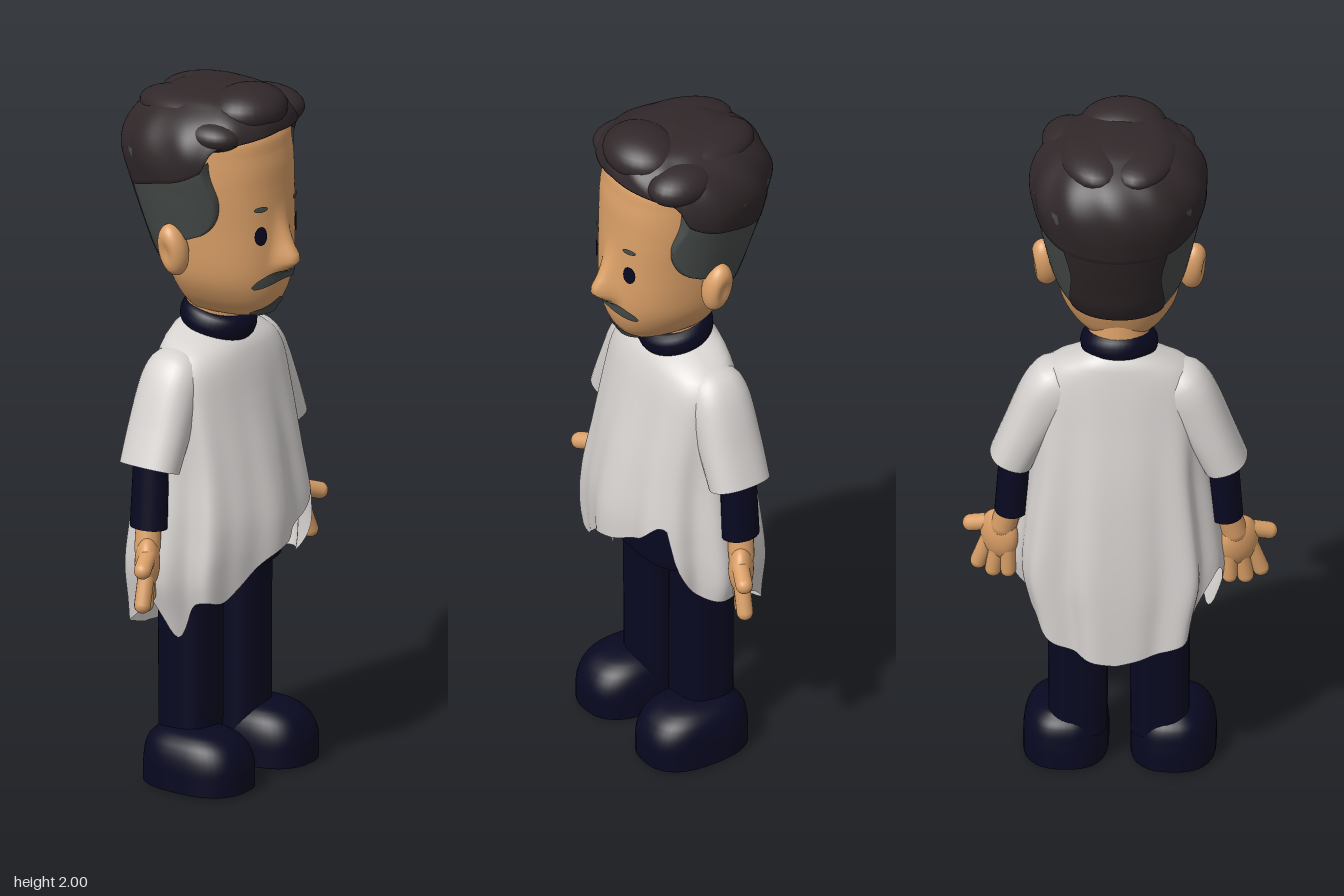
import * as THREE from 'three';
import { mergeVertices } from 'three/addons/utils/BufferGeometryUtils.js';

const paint = (name, color, side = THREE.FrontSide) => {
  const m = new THREE.MeshStandardMaterial({ color, side });
  m.name = name;
  return m;
};
const rad = Math.PI / 180;
const lerp = THREE.MathUtils.lerp;
const pw = (v, e) => Math.sign(v) * Math.abs(v) ** e;

// Smooth lookup in rows of [key, value, value...]
function look(rows, k) {
  const n = rows.length - 1;
  if (k <= rows[0][0]) return rows[0].slice(1);
  if (k >= rows[n][0]) return rows[n].slice(1);
  let i = 0;
  while (k > rows[i + 1][0]) i++;
  const a = rows[i], b = rows[i + 1], h = b[0] - a[0], t = (k - a[0]) / h;
  const slope = (j, c) => {
    const p = rows[Math.max(j - 1, 0)], q = rows[Math.min(j + 1, n)];
    return (q[c] - p[c]) / (q[0] - p[0]) * h;
  };
  return a.slice(1).map((_, j) => {
    const c = j + 1, t2 = t * t, t3 = t2 * t;
    const v = (2 * t3 - 3 * t2 + 1) * a[c] + (t3 - 2 * t2 + t) * slope(i, c)
      + (3 * t2 - 2 * t3) * b[c] + (t3 - t2) * slope(i + 1, c);
    const lo = Math.min(a[c], b[c]), hi = Math.max(a[c], b[c]);
    return Math.min(Math.max(v, lo), hi);
  });
}

// Smooth grid surface; u runs towards +x at the front, v runs up
function grid(nu, nv, f) {
  const pos = [], idx = [];
  for (let j = 0; j <= nv; j++) for (let i = 0; i <= nu; i++) pos.push(...f(i / nu, j / nv));
  for (let j = 0; j < nv; j++) for (let i = 0; i < nu; i++) {
    const a = j * (nu + 1) + i, c = a + nu + 1;
    idx.push(a, a + 1, c + 1, a, c + 1, c);
  }
  let g = new THREE.BufferGeometry();
  g.setAttribute('position', new THREE.Float32BufferAttribute(pos, 3));
  g.setIndex(idx);
  g = mergeVertices(g, 1e-5);
  g.computeVertexNormals();
  return g;
}

// Point on a body given by rows of [y, half width, front z, back z]
function ringPoint(rows, th, y, e = 0.9, k = 1) {
  const [w, zf, zb] = look(rows, y), c = Math.cos(th);
  return [k * w * pw(Math.sin(th), e), y, k * (c > 0 ? zf : -zb) * pw(c, e)];
}
// Closed body with five bands between each pair of rows
function solid(rows, e = 0.9, nu = 40, shift = () => 0) {
  const n = rows.length - 1;
  return grid(nu, n * 5, (u, v) => {
    const i = Math.min(n - 1, Math.floor(v * n + 1e-6));
    const p = ringPoint(rows, (u * 2 - 1) * Math.PI, lerp(rows[i][0], rows[i + 1][0], v * n - i), e);
    if (p[2] > 0) p[2] += shift(p[0], p[1]);
    return p;
  });
}

const HEAD = [[1.335, 0, 0, 0], [1.345, 0.065, 0.145, -0.04], [1.37, 0.1, 0.18, -0.07], [1.41, 0.132, 0.203, -0.09],
  [1.46, 0.157, 0.215, -0.11], [1.52, 0.169, 0.218, -0.14], [1.62, 0.178, 0.214, -0.18], [1.72, 0.188, 0.208, -0.21],
  [1.82, 0.19, 0.198, -0.21], [1.9, 0.16, 0.16, -0.17], [1.94, 0, 0, 0]];
const NOSE = [[1.48, 0, 0.035], [1.502, 0.035, 0.035], [1.527, 0.056, 0.034], [1.56, 0.038, 0.03], [1.62, 0.012, 0.028], [1.67, 0, 0.028]];
const HAIR = [[1.435, 0.125, 0.1, -0.125], [1.5, 0.165, 0.13, -0.165], [1.56, 0.188, 0.165, -0.188], [1.62, 0.202, 0.18, -0.212],
  [1.71, 0.222, 0.192, -0.243], [1.81, 0.24, 0.198, -0.264], [1.87, 0.228, 0.203, -0.25], [1.92, 0.192, 0.195, -0.212],
  [1.955, 0.142, 0.16, -0.155], [1.975, 0.095, 0.1, -0.1], [1.985, 0, 0, 0]];
const HAIRLINE = [[0, 1.885], [45, 1.87], [56, 1.855], [63, 1.8], [100, 1.745], [138, 1.7], [180, 1.69]];
const GREY_FRONT = [[1.44, 108], [1.52, 100], [1.575, 92], [1.6, 66], [1.64, 51], [1.7, 47], [1.78, 56], [1.82, 58]];
const GREY_BACK = [[1.44, 114], [1.5, 130], [1.6, 143], [1.7, 141], [1.82, 138]];
const CLOTH = [[0.38, 0.235, 0.17, -0.198], [0.5, 0.255, 0.195, -0.195], [0.62, 0.283, 0.208, -0.19], [0.76, 0.272, 0.215, -0.18],
  [0.93, 0.25, 0.188, -0.163], [1.1, 0.24, 0.147, -0.138], [1.2, 0.226, 0.124, -0.122], [1.25, 0.19, 0.108, -0.112],
  [1.275, 0.14, 0.095, -0.105], [1.295, 0.085, 0.075, -0.085]];
const HEM = [[-180, 0.39], [-145, 0.43], [-125, 0.49], [-108, 0.63], [-95, 0.57], [-80, 0.45], [-68, 0.54], [-55, 0.57], [-42, 0.56],
  [-28, 0.6], [-8, 0.67], [20, 0.73], [44, 0.8], [52, 0.67], [66, 0.58], [90, 0.56], [122, 0.5], [142, 0.43], [180, 0.39]];

export function createModel() {
  const model = new THREE.Group();
  model.name = 'figure';
  const skin = paint('skin', 0xda9f67), hair = paint('dark hair', 0x31282a, THREE.DoubleSide);
  const grey = paint('grey hair', 0x474c49, THREE.DoubleSide), navy = paint('navy cloth', 0x080821);
  const white = paint('white cloth', 0xd6d2d0, THREE.DoubleSide);

  const add = (name, geo, mat, x = 0, y = 0, z = 0) => {
    const m = new THREE.Mesh(geo, mat);
    m.name = name;
    m.position.set(x, y, z);
    model.add(m);
    return m;
  };
  const ball = (name, mat, [x, y, z], [a, b, c]) =>
    add(name, new THREE.SphereGeometry(1, 28, 18).scale(a, b, c), mat, x, y, z);
  const limb = (name, mat, a, b, r) => {
    const p = new THREE.Vector3(...a), d = new THREE.Vector3(...b).sub(p);
    const m = add(name, new THREE.CapsuleGeometry(r, d.length(), 6, 16), mat);
    m.position.copy(p).addScaledVector(d, 0.5);
    m.quaternion.setFromUnitVectors(new THREE.Vector3(0, 1, 0), d.normalize());
  };

  // Head with a nose swelling out of the face, and neck
  const nose = (x, y) => {
    const [h, w] = look(NOSE, y);
    return h * Math.exp(-((Math.abs(x) / w) ** 2.6));
  };
  add('head', solid(HEAD, 0.9, 144, nose), skin);
  const neck = add('neck', new THREE.CylinderGeometry(0.085, 0.085, 0.18, 28), skin, 0, 1.35, -0.005);
  neck.rotation.x = 0.1;

  // Painted face details that follow the face surface
  const faceZ = (x, y) => {
    const [w, zf] = look(HEAD, y), s = Math.min(1, (Math.abs(x) / w) ** (1 / 0.9));
    return zf * Math.sqrt(1 - s * s) ** 0.9 + nose(x, y);
  };
  const decal = (name, mat, cx, half, top, bottom) => add(name, grid(28, 8, (u, v) => {
    const t = u * 2 - 1, x = cx + half * t, y = lerp(bottom(t), top(t), v);
    return [x, y, faceZ(x, y) + 0.006];
  }), mat);
  const arc = t => Math.sqrt(Math.max(0, 1 - t * t));
  const droop = t => 1.479 - 0.027 * Math.abs(t) ** 1.8, thick = t => 0.018 * Math.max(0, 1 - t ** 6) ** 0.5;
  for (const s of [-1, 1]) {
    decal('eye', navy, s * 0.08, 0.017, t => 1.602 + 0.027 * arc(t), t => 1.602 - 0.027 * arc(t));
    decal('eyebrow', grey, s * 0.078, 0.02, t => 1.678 + 0.008 * arc(t), t => 1.678 - 0.008 * arc(t));
  }
  decal('moustache', grey, 0, 0.097, t => droop(t) + thick(t), t => droop(t) - thick(t));
  decal('goatee', grey, 0, 0.06, t => 1.408 - 0.042 * Math.abs(t) ** 1.2, t => 1.347 + 0.012 * t * t);

  // Ears with a shallow hollow
  for (const s of [-1, 1]) {
    const g = new THREE.SphereGeometry(1, 28, 20).scale(0.042, 0.074, 0.043), p = g.attributes.position;
    for (let i = 0; i < p.count; i++) {
      const y = p.getY(i), z = p.getZ(i);
      if (p.getX(i) * s > 0) p.setX(i, p.getX(i) - s * 0.018 * Math.exp(-((y / 0.035) ** 2) - (z / 0.022) ** 2));
    }
    g.computeVertexNormals();
    const ear = add('ear', g, skin, s * 0.203, 1.556, -0.005);
    ear.rotation.set(-0.15, s * 0.2, -s * 0.1);
  }

  // Hair: wavy cap, nape, grey sides, and locks on top
  add('hairCap', grid(120, 28, (u, v) => {
    const th = (u * 2 - 1) * Math.PI, deg = Math.abs(th / rad), y0 = look(HAIRLINE, deg)[0];
    const t = Math.sin(Math.max(0, v - 0.04) / 0.96 * Math.PI / 2), rim = deg < 66 ? 0.86 : 0.99;
    const wave = 1.014 + 0.018 * Math.cos(11 * th + 5 * t) * Math.sin(Math.PI * t);
    return ringPoint(HAIR, th, lerp(y0, 1.985, t), 0.95, v === 0 ? rim : wave);
  }), hair);
  add('napeHair', grid(40, 18, (u, v) => {
    const y = lerp(1.435, 1.75, v), b = look(GREY_BACK, y)[0];
    return ringPoint(HAIR, lerp(b, 360 - b, u) * rad, y, 0.95, v === 0 ? 0.8 : 1.012);
  }), hair);
  for (const s of [-1, 1]) add('greySide', grid(24, 30, (u, v) => {
    const y = lerp(1.44, 1.82, v), a = look(GREY_FRONT, y)[0], b = look(GREY_BACK, y)[0] + 2;
    return ringPoint(HAIR, s * lerp(a, b, u) * rad, y, 0.95, u === 0 ? 0.85 : 1);
  }), grey);
  ball('quiff', hair, [-0.005, 1.934, 0.105], [0.12, 0.066, 0.102]);
  ball('frontLock', hair, [0.128, 1.897, 0.06], [0.085, 0.058, 0.115]).rotation.y = 0.3;
  ball('frontLock', hair, [-0.122, 1.888, 0.065], [0.08, 0.048, 0.105]).rotation.y = -0.3;
  ball('topLock', hair, [0.065, 1.922, -0.05], [0.1, 0.055, 0.165]).rotation.y = 0.15;
  ball('topLock', hair, [-0.07, 1.922, -0.05], [0.095, 0.052, 0.165]).rotation.y = -0.15;

  // Collar and shirt body
  const collar = add('collar', new THREE.TorusGeometry(0.08, 0.027, 14, 40).rotateX(Math.PI / 2).scale(1, 1.45, 1), navy, 0, 1.31, 0);
  collar.rotation.x = 0.26;
  add('shirt', solid([[0.605, 0, 0, 0], [0.61, 0.185, 0.14, -0.1], [0.75, 0.185, 0.14, -0.1], [1, 0.17, 0.1, -0.1],
    [1.22, 0.15, 0.07, -0.08], [1.27, 0.08, 0.05, -0.06]], 0.75), navy);

  // Poncho with an uneven hem and folds that deepen downwards
  add('poncho', grid(144, 36, (u, v) => {
    const th = (u * 2 - 1) * Math.PI, hem = look(HEM, th / rad)[0], y = lerp(hem, 1.295, v ** 0.85);
    const d = Math.min(1, Math.max(0, (1.24 - y) / 0.6));
    const fold = 1 + d * (0.055 * Math.cos(8 * th + 0.7) + 0.025 * Math.cos(13 * th));
    const p = ringPoint(CLOTH, th, y, 0.85, fold);
    p[1] -= 0.022 * Math.cos(th) * Math.max(0, (y - 1.1) / 0.195);
    return p;
  }), white);

  // Poncho sleeves: rows of [t, inner x, inner y, outer x, outer y, half depth]
  const SLEEVE = [[0, 0.235, 0.925, 0.352, 0.965, 0.088], [0.35, 0.195, 1.0, 0.315, 1.06, 0.09], [0.65, 0.14, 1.08, 0.272, 1.17, 0.09],
    [0.85, 0.1, 1.14, 0.238, 1.226, 0.086], [0.95, 0.08, 1.18, 0.2, 1.255, 0.07], [1, 0.1, 1.23, 0.14, 1.262, 0.03]];
  for (const s of [-1, 1]) {
    add('ponchoSleeve', grid(32, 24, (u, v) => {
      const a = u * 2 * Math.PI, [xi, yi, xo, yo, d] = look(SLEEVE, v), k = 0.5 + 0.5 * pw(Math.sin(a), 0.85);
      return [s * lerp(xi, xo, k), lerp(yi, yo, k), -0.018 + d * pw(Math.cos(a), 0.85)];
    }), white);

    // Arm and hand
    limb('upperArm', navy, [s * 0.18, 1.17, -0.02], [s * 0.275, 0.97, -0.02], 0.045);
    const cuff = add('forearm', new THREE.CylinderGeometry(0.042, 0.045, 0.24, 24).scale(1, 1, 1.22), navy, s * 0.288, 0.895, -0.02);
    cuff.rotation.z = s * 0.06;
    limb('wrist', skin, [s * 0.297, 0.79, -0.018], [s * 0.315, 0.72, -0.01], 0.036);
    ball('palm', skin, [s * 0.328, 0.685, 0], [0.06, 0.074, 0.035]).rotation.y = -s * 0.6;
    limb('thumb', skin, [s * 0.345, 0.715, 0.015], [s * 0.407, 0.692, 0.042], 0.024);
    limb('finger', skin, [s * 0.358, 0.66, 0.018], [s * 0.386, 0.583, 0.026], 0.023);
    limb('finger', skin, [s * 0.332, 0.65, 0.0], [s * 0.345, 0.571, 0.006], 0.023);
    limb('finger', skin, [s * 0.303, 0.66, -0.018], [s * 0.303, 0.58, -0.015], 0.021);

    // Trouser leg and rounded shoe
    const leg = grid(32, 4, (u, v) => ringPoint([[0.1, 0.081, 0.082, -0.082], [0.68, 0.083, 0.083, -0.083]],
      (u * 2 - 1) * Math.PI, lerp(0.1, 0.68, v), 0.75));
    add('leg', leg, navy, s * 0.112, 0, -0.012);
    const shoe = solid([[0, 0, 0, 0], [0.004, 0.108, 0.148, -0.148], [0.02, 0.117, 0.158, -0.158], [0.08, 0.116, 0.156, -0.156],
      [0.125, 0.104, 0.135, -0.148], [0.152, 0.08, 0.1, -0.125], [0.166, 0.045, 0.05, -0.09], [0.17, 0, 0, 0]], 0.8);
    add('shoe', shoe, navy, s * 0.147, 0, 0.042);
  }
  return model;
}
